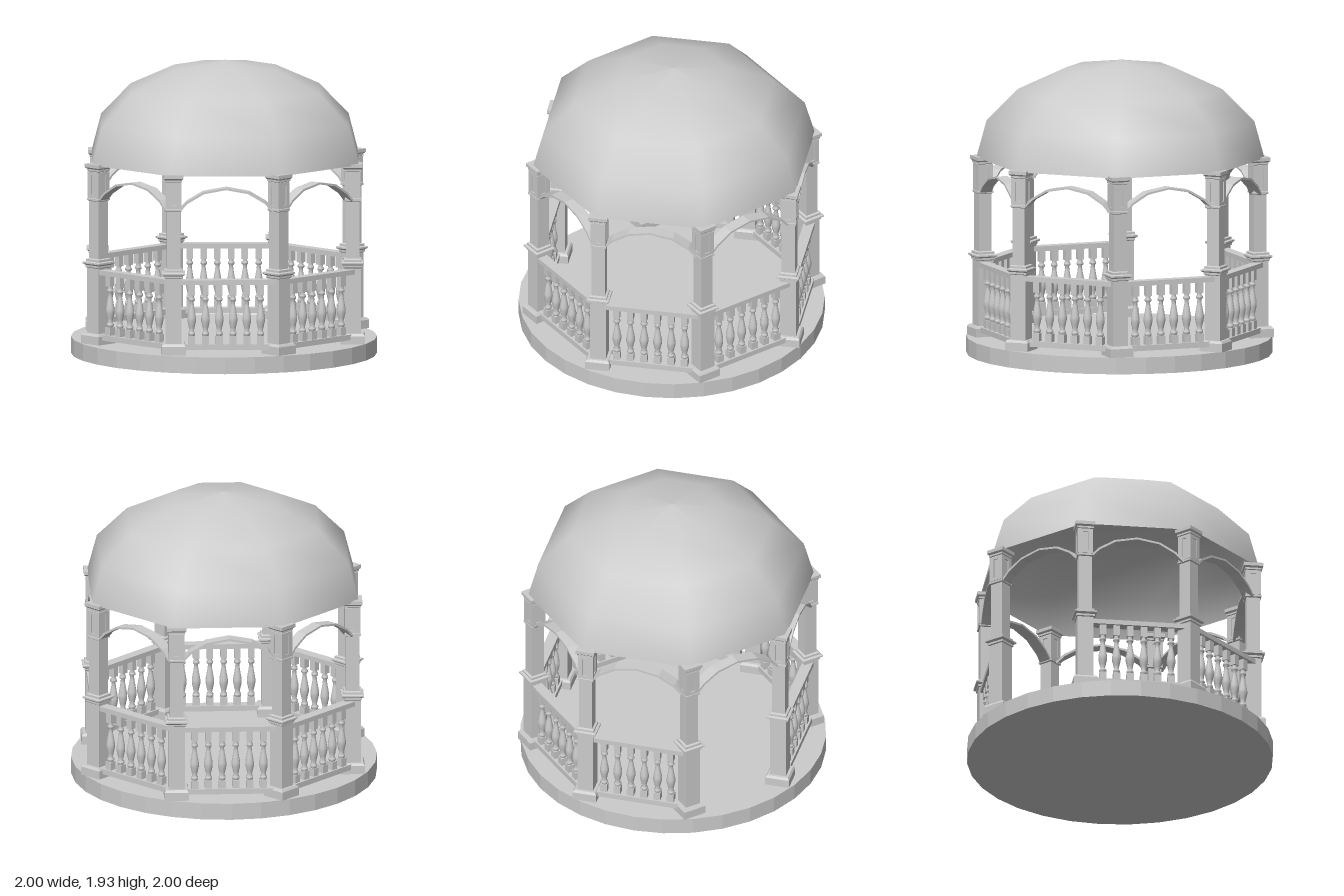
import * as THREE from 'three';

const grey = new THREE.MeshStandardMaterial({ color: 0xcccccc });
const flat = new THREE.MeshStandardMaterial({ color: 0xcccccc, flatShading: true });
const thin = new THREE.MeshStandardMaterial({ color: 0xcccccc, side: THREE.DoubleSide });

const SIDES = 8;
const STEP = (Math.PI * 2) / SIDES;
const APOTHEM = 0.83;                              // centre to middle of a bay
const HALF_BAY = APOTHEM * Math.tan(STEP / 2);     // middle of a bay to a post
const ENTRANCE = 6;                                // open bay, on the -x side

function add(parent, name, geometry, material, x = 0, y = 0, z = 0) {
  const mesh = new THREE.Mesh(geometry, material);
  mesh.name = name;
  mesh.position.set(x, y, z);
  parent.add(mesh);
  return mesh;
}

// Lathe with n flat sides; each profile entry is [distance to the side, y]
function prism(profile, n) {
  const k = 1 / Math.cos(Math.PI / n);
  return new THREE.LatheGeometry(profile.map(([r, y]) => new THREE.Vector2(r * k, y)), n, Math.PI / n);
}

// Square post with plinth, waist moulding, panelled head and capital
const postGeo = prism([
  [0, 0.11], [0.08, 0.11], [0.08, 0.165], [0.07, 0.18], [0.053, 0.18],
  [0.053, 0.61], [0.06, 0.615], [0.06, 0.628], [0.074, 0.638], [0.074, 0.648],
  [0.058, 0.653], [0.058, 0.667], [0.044, 0.672], [0.044, 1.05],
  [0.053, 1.055], [0.053, 1.068], [0.044, 1.072], [0.044, 1.245],
  [0.054, 1.25], [0.054, 1.262], [0.064, 1.272], [0.064, 1.295], [0, 1.295],
], 4);

// Raised frame around the recessed panel on each face of the head
function panelFrame() {
  const rect = (P, w, h) => new P([[-w, -h], [w, -h], [w, h], [-w, h]].map(p => new THREE.Vector2(...p)));
  const shape = rect(THREE.Shape, 0.05, 0.087);
  shape.holes.push(rect(THREE.Path, 0.018, 0.065));
  return new THREE.ExtrudeGeometry(shape, { depth: 0.008, bevelEnabled: false });
}
const frameGeo = panelFrame();

function makePost() {
  const post = new THREE.Group();
  post.name = 'post';
  add(post, 'postBody', postGeo, flat);
  for (let i = 0; i < 4; i++) {
    const a = (i * Math.PI) / 2;
    add(post, 'headPanelFrame', frameGeo, flat, Math.sin(a) * 0.043, 1.158, Math.cos(a) * 0.043).rotation.y = a;
  }
  return post;
}

// Turned baluster between two square blocks
const turnedGeo = new THREE.LatheGeometry([
  [0.017, 0.225], [0.024, 0.24], [0.024, 0.25], [0.015, 0.262], [0.021, 0.29], [0.029, 0.325],
  [0.029, 0.35], [0.022, 0.39], [0.015, 0.43], [0.013, 0.455], [0.022, 0.463],
  [0.022, 0.475], [0.014, 0.485], [0.018, 0.505],
].map(p => new THREE.Vector2(...p)), 10);
const footGeo = new THREE.BoxGeometry(0.046, 0.06, 0.046);
const headGeo = new THREE.BoxGeometry(0.042, 0.075, 0.042);

function makeBalustrade() {
  const g = new THREE.Group();
  g.name = 'balustrade';
  add(g, 'topRail', new THREE.BoxGeometry(0.65, 0.032, 0.07), flat, 0, 0.585, 0);
  add(g, 'bottomRail', new THREE.BoxGeometry(0.62, 0.036, 0.07), flat, 0, 0.158, 0);
  for (let i = 0; i < 6; i++) {
    const x = (i - 2.5) * 0.09;
    add(g, 'balusterFoot', footGeo, flat, x, 0.2, 0);
    add(g, 'balusterStem', turnedGeo, grey, x, 0, 0);
    add(g, 'balusterHead', headGeo, flat, x, 0.535, 0);
  }
  return g;
}

// Thin angular arch band spanning a bay
function archGeometry() {
  const outer = [[0.31, 1.06], [0.255, 1.118], [0.15, 1.18], [0, 1.207]];
  const inner = outer.map(([x, y]) => [x - 0.006, y - 0.013]);
  inner[3][0] = 0;
  const half = line => [...line, ...line.slice(0, 3).reverse().map(([x, y]) => [-x, y])];
  const points = [...half(outer), ...half(inner).reverse()];
  const shape = new THREE.Shape(points.map(p => new THREE.Vector2(...p)));
  return new THREE.ExtrudeGeometry(shape, { depth: 0.08, bevelEnabled: false });
}
const archGeo = archGeometry();

export function createModel() {
  const model = new THREE.Group();
  model.name = 'gazebo';

  // Round floor slab
  add(model, 'floor', new THREE.CylinderGeometry(1, 1, 0.11, 32), flat, 0, 0.055, 0);

  const pavilion = new THREE.Group();
  pavilion.name = 'pavilion';
  pavilion.position.set(0.008, 0, -0.012);
  model.add(pavilion);

  // Eight bays, each with a post squared to its own side
  for (let i = 0; i < SIDES; i++) {
    const bay = new THREE.Group();
    bay.name = 'bay';
    bay.rotation.y = i * STEP;
    const post = makePost();
    post.position.set(-HALF_BAY, 0, APOTHEM);
    bay.add(post);
    add(bay, 'arch', archGeo, flat, 0, 0, APOTHEM - 0.04);
    if (i !== ENTRANCE) {
      const balustrade = makeBalustrade();
      balustrade.position.z = APOTHEM + 0.012;
      bay.add(balustrade);
    }
    pavilion.add(bay);
  }

  // Eight-sided hollow dome
  add(pavilion, 'domeRoof', prism([
    [0.87, 1.285], [0.808, 1.53], [0.615, 1.74], [0.33, 1.88], [0, 1.93],
  ], SIDES), thin);

  return model;
}
